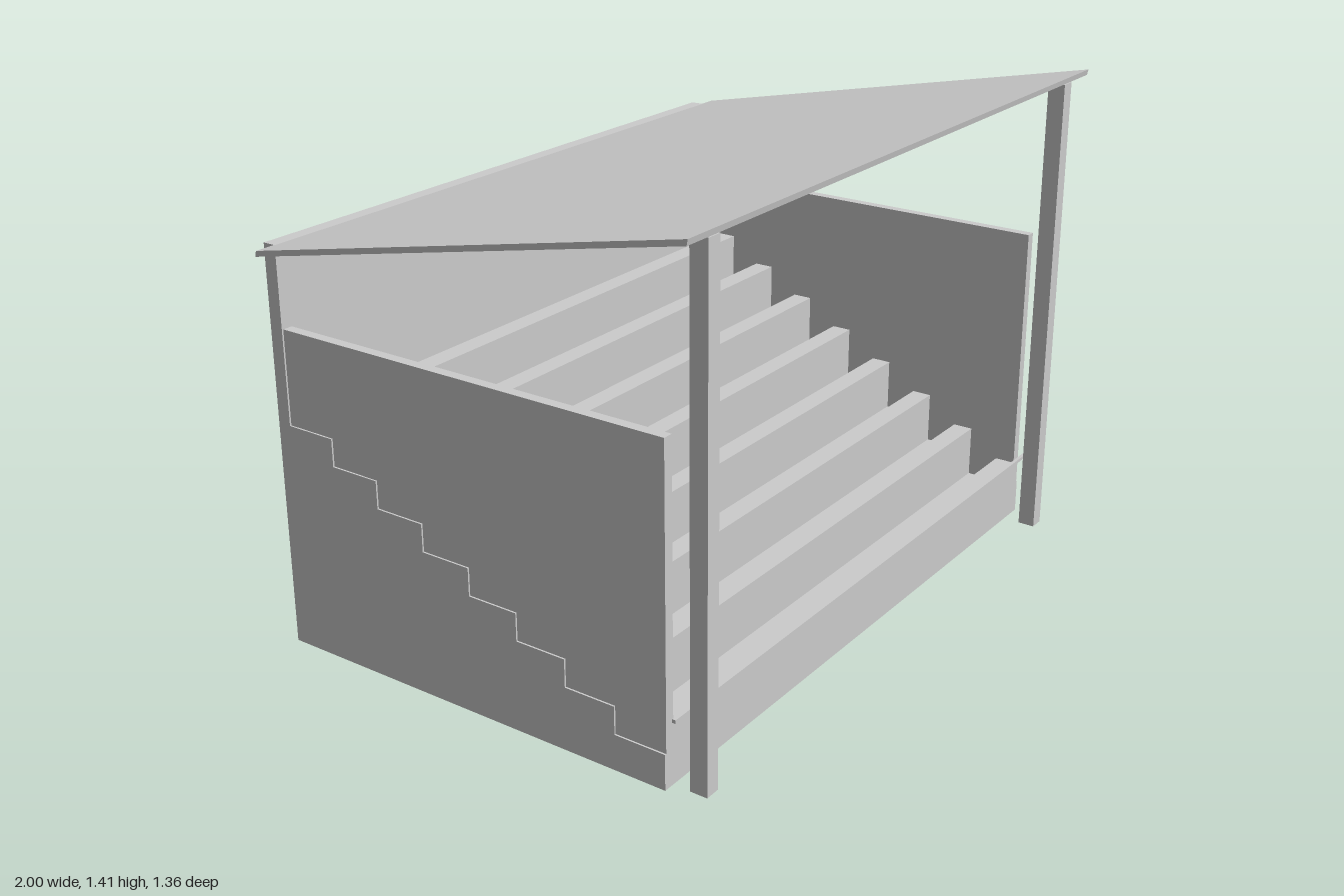
import * as THREE from 'three';

export function createModel() {
  const model = new THREE.Group();
  model.name = 'coveredGrandstand';
  const grey = new THREE.MeshStandardMaterial({ color: 0xcccccc });
  grey.name = 'concreteGrey';

  // Box given by its lower and upper corners
  function box(name, [x0, y0, z0], [x1, y1, z1]) {
    const mesh = new THREE.Mesh(new THREE.BoxGeometry(x1 - x0, y1 - y0, z1 - z0), grey);
    mesh.position.set((x0 + x1) / 2, (y0 + y1) / 2, (z0 + z1) / 2);
    mesh.name = name;
    model.add(mesh);
  }

  // Side profile of [z, y] points, extruded along x and centred
  function profile(name, points, width) {
    const shape = new THREE.Shape(points.map(([z, y]) => new THREE.Vector2(-z, y)));
    const geometry = new THREE.ExtrudeGeometry(shape, { depth: width, bevelEnabled: false });
    geometry.translate(0, 0, -width / 2).rotateY(Math.PI / 2);
    const mesh = new THREE.Mesh(geometry, grey);
    mesh.name = name;
    model.add(mesh);
  }

  const steps = 8, front = 0.57, back = -0.64;
  const run = (front - back) / steps, base = 0.1, rise = 0.0786;

  // Solid stepped terrace
  const terrace = [[back, 0], [front, 0]];
  for (let i = 0; i < steps; i++) {
    const y = base + i * rise, z = front - i * run;
    terrace.push([z, y], [z - run, y]);
  }
  profile('terrace', terrace, 1.884);

  // Bench along the front edge of every step
  for (let i = 0; i < steps; i++) {
    const y = base + i * rise, z = front - i * run;
    box('bench', [-0.908, y, z - 0.06], [0.908, y + 0.075, z]);
  }

  // Back wall
  box('backWall', [-0.942, 0, -0.68], [0.942, 1.146, back]);

  // Side walls and roof posts, mirrored
  for (const s of [-1, 1]) {
    const span = (a, b) => [Math.min(s * a, s * b), Math.max(s * a, s * b)];
    const [w0, w1] = span(0.908, 0.937);
    box('sideWall', [w0, 0, back], [w1, 0.918, front]);
    const [p0, p1] = span(0.865, 0.91);
    box('roofPost', [p0, 0, 0.62], [p1, 1.393, 0.67]);
  }

  // Thin front rail
  box('frontRail', [-0.94, 0.195, 0.59], [0.94, 0.205, 0.6]);

  // Sloping roof slab
  profile('roof', [[-0.648, 1.129], [0.677, 1.399], [0.68, 1.415], [-0.645, 1.145]].reverse(), 2);

  return model;
}
